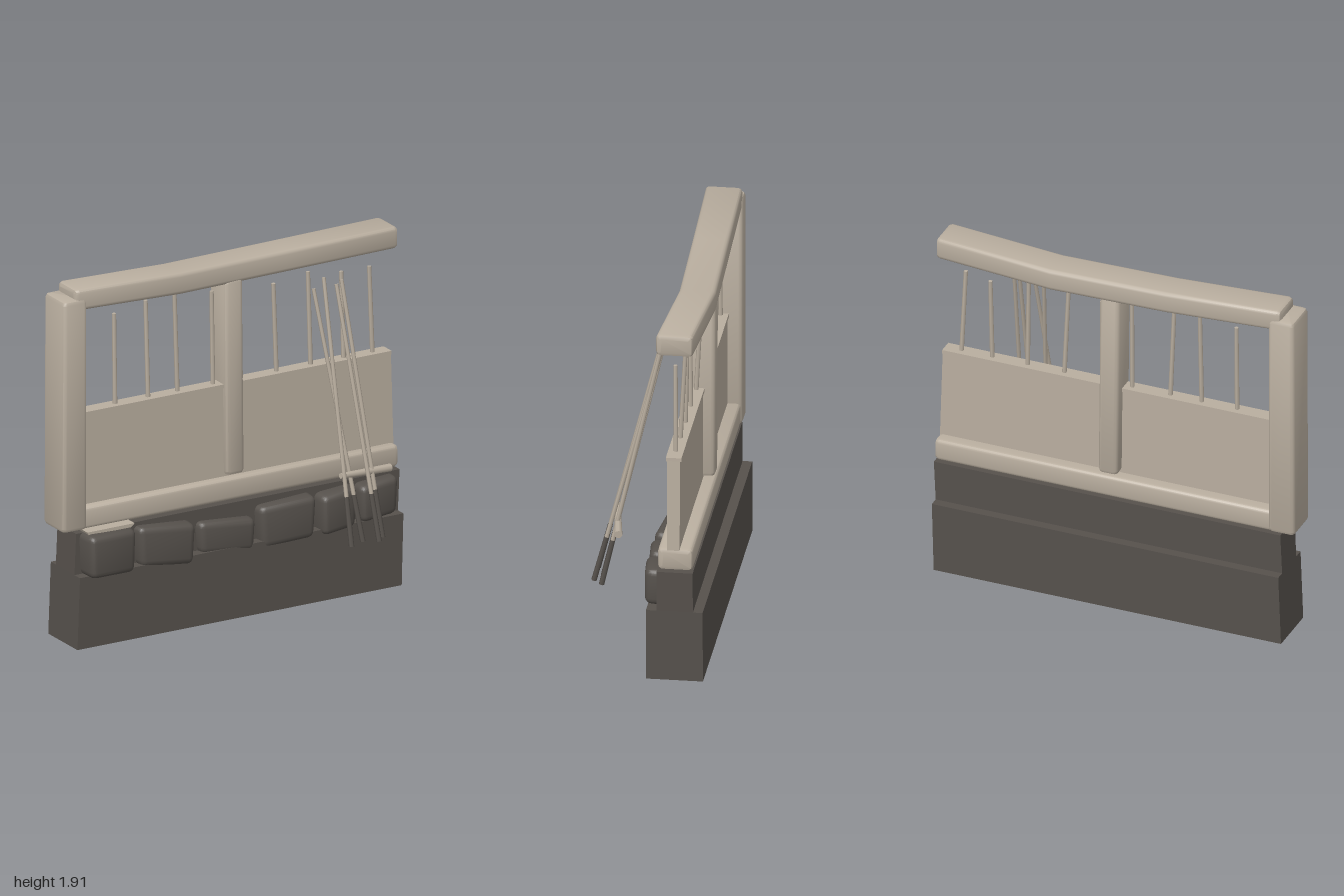
import * as THREE from 'three';
import { toCreasedNormals } from 'three/addons/utils/BufferGeometryUtils.js';
import { RoundedBoxGeometry } from 'three/addons/geometries/RoundedBoxGeometry.js';

const paleWood = new THREE.MeshStandardMaterial({ color: 0xb9ae9f });
paleWood.name = 'pale wood';
const darkStone = new THREE.MeshStandardMaterial({ color: 0x56514c });
darkStone.name = 'dark stone';

// Rounded rectangle ring in the (u, v) plane, counter-clockwise
function ring(a, u0, u1, v0, v1, r) {
  const pts = [];
  const corners = [[u1 - r, v1 - r], [u0 + r, v1 - r], [u0 + r, v0 + r], [u1 - r, v0 + r]];
  corners.forEach(([u, v], c) => {
    for (let i = 0; i < 4; i++) {
      const t = (c + i / 3) * Math.PI / 2;
      pts.push([a, u + r * Math.cos(t), v + r * Math.sin(t)]);
    }
  });
  return pts;
}

// Beam with softened edges through sections [a, u0, u1, v0, v1];
// along x: u = y, v = z; along y: u = z, v = x
function beamGeometry(axis, sections, r = 0.022) {
  const first = sections[0], last = sections[sections.length - 1];
  const inset = (s, da, d) => ring(s[0] + da, s[1] + d, s[2] - d, s[3] + d, s[4] - d, r - d * 0.6);
  const rings = [
    inset(first, 0, r), inset(first, r * 0.3, r * 0.3), inset(first, r, 0),
    ...sections.slice(1, -1).map(s => inset(s, 0, 0)),
    inset(last, -r, 0), inset(last, -r * 0.3, r * 0.3), inset(last, 0, r),
  ];
  const pos = [], idx = [], n = 16;
  for (const [a, u, v] of rings.flat()) pos.push(...(axis === 'x' ? [a, u, v] : [v, a, u]));
  for (let k = 0; k < rings.length - 1; k++) {
    for (let i = 0; i < n; i++) {
      const p = k * n + i, q = k * n + (i + 1) % n;
      idx.push(p, q, q + n, p, q + n, p + n);
    }
  }
  const end = (rings.length - 1) * n;
  for (let i = 1; i < n - 1; i++) idx.push(0, i + 1, i, end, end + i, end + i + 1);
  const g = new THREE.BufferGeometry();
  g.setAttribute('position', new THREE.Float32BufferAttribute(pos, 3));
  g.setIndex(idx);
  return toCreasedNormals(g, 0.65);
}

// Box whose left and right ends slope between bottom and top
function slantedBox([b0, b1], [t0, t1], [y0, y1], [z0, z1]) {
  const g = new THREE.BoxGeometry(1, 1, 1).toNonIndexed();
  const p = g.attributes.position;
  for (let i = 0; i < p.count; i++) {
    const right = p.getX(i) > 0, top = p.getY(i) > 0;
    p.setXYZ(i, top ? (right ? t1 : t0) : (right ? b1 : b0), top ? y1 : y0, p.getZ(i) > 0 ? z1 : z0);
  }
  g.computeVertexNormals();
  return g;
}

// Rounded block, skewed so each stone differs
function stoneGeometry([x0, x1, y0, y1, front, drop, turn, flare]) {
  const w = x1 - x0, h = y1 - y0, back = -0.11, d = front - back;
  const g = new RoundedBoxGeometry(w, h - Math.abs(drop) * 2, d, 2, 0.035);
  const p = g.attributes.position;
  for (let i = 0; i < p.count; i++) {
    const nx = p.getX(i) / w * 2, ny = p.getY(i) / h * 2, nz = p.getZ(i) / d + 0.5;
    p.setXYZ(i,
      (x0 + x1) / 2 + p.getX(i) * (1 + flare * (ny - 1)) * (1 - 0.08 * nz),
      (y0 + y1) / 2 + p.getY(i) + drop * nx,
      (front + back) / 2 + p.getZ(i) + turn * (nx - 1) * nz);
  }
  return toCreasedNormals(g, 0.45);
}

export function createModel() {
  const model = new THREE.Group();
  model.name = 'wallSection';
  const add = (name, geometry, material, parent = model) => {
    const m = new THREE.Mesh(geometry, material);
    m.name = name;
    parent.add(m);
    return m;
  };
  const group = name => {
    const g = new THREE.Group();
    g.name = name;
    model.add(g);
    return g;
  };
  const up = new THREE.Vector3(0, 1, 0);
  const rod = (name, from, to, r0, r1, sides, material, parent) => {
    const a = new THREE.Vector3(...from), b = new THREE.Vector3(...to);
    const dir = b.clone().sub(a);
    const m = add(name, new THREE.CylinderGeometry(r1, r0, dir.length(), sides), material, parent);
    m.position.copy(a).add(b).multiplyScalar(0.5);
    m.quaternion.setFromUnitVectors(up, dir.normalize());
  };

  // Stepped footing
  add('lowerFooting', slantedBox([-0.94, 0.975], [-0.925, 0.985], [0, 0.385], [-0.305, -0.015]), darkStone);
  add('upperFooting', slantedBox([-0.925, 0.985], [-0.915, 0.995], [0.385, 0.605], [-0.255, -0.07]), darkStone);

  // Facing stones: x0, x1, y0, y1, front z, drop, turn, flare
  const stones = group('facingStones');
  [
    [-0.90, -0.595, 0.37, 0.61, 0.022, -0.005, -0.012, 0.03],
    [-0.585, -0.235, 0.345, 0.588, 0.012, -0.014, 0.012, 0.05],
    [-0.22, 0.13, 0.345, 0.545, -0.008, -0.014, 0.008, 0.04],
    [0.13, 0.475, 0.345, 0.582, 0.015, 0.008, 0.012, 0.05],
    [0.485, 0.715, 0.355, 0.585, 0.005, 0.008, -0.01, 0.04],
    [0.715, 0.965, 0.38, 0.595, -0.003, 0.008, -0.01, 0.05],
  ].forEach(s => add('facingStone', stoneGeometry(s), darkStone, stones));
  add('shimSlab', slantedBox([-0.87, -0.62], [-0.88, -0.6], [0.604, 0.622], [-0.1, -0.018]), paleWood);

  // Timber frame
  add('sillBeam', beamGeometry('x', [[-0.985, 0.615, 0.735, -0.255, -0.075], [0.995, 0.615, 0.735, -0.255, -0.075]]), paleWood);
  add('leftPost', beamGeometry('y', [[0.617, -0.265, -0.063, -0.995, -0.85], [1.865, -0.265, -0.063, -0.99, -0.85]]), paleWood);
  add('centrePost', beamGeometry('y', [[0.742, -0.25, -0.09, -0.012, 0.095], [1.8, -0.25, -0.09, -0.022, 0.085]]), paleWood);
  add('topBeam', beamGeometry('x', [
    [-0.915, 1.802, 1.915, -0.258, -0.07],
    [-0.285, 1.775, 1.892, -0.27, -0.083],
    [0.345, 1.775, 1.892, -0.288, -0.1],
    [0.988, 1.798, 1.915, -0.255, -0.065],
  ]), paleWood);

  // Infill panel with a capping strip
  add('panel', slantedBox([-0.87, 0.99], [-0.87, 0.975], [0.72, 1.215], [-0.188, -0.122]), paleWood);
  add('panelCap', slantedBox([-0.87, 0.975], [-0.87, 0.975], [1.213, 1.233], [-0.195, -0.115]), paleWood);

  // Window bars: bottom x, top x, top y
  const bars = group('windowBars');
  [
    [-0.83, -0.833, 1.71], [-0.635, -0.635, 1.715], [-0.44, -0.44, 1.745], [-0.267, -0.287, 1.76],
    [-0.057, -0.059, 1.73], [0.108, 0.1, 1.71], [0.318, 0.297, 1.71], [0.52, 0.51, 1.73],
    [0.715, 0.715, 1.69], [0.885, 0.863, 1.7],
  ].forEach(([b, t, y], i) =>
    rod('windowBar', [b, 1.22, -0.155], [t, y, -0.15 - 0.015 * (i % 3)], 0.012, 0.011, 6, paleWood, bars));

  // Leaning poles with dark lower ends: top x, top y, bottom x, bottom z
  const poles = group('leaningPoles');
  [
    [0.475, 1.68, 0.585, 0.255], [0.535, 1.73, 0.495, 0.295],
    [0.61, 1.68, 0.658, 0.295], [0.64, 1.7, 0.705, 0.25],
  ].forEach(([tx, ty, bx, bz]) => {
    const top = new THREE.Vector3(tx, ty, -0.05), bottom = new THREE.Vector3(bx, 0.39, bz);
    const joint = bottom.clone().lerp(top, 0.185);
    rod('poleShaft', joint.toArray(), top.toArray(), 0.011, 0.01, 6, paleWood, poles);
    rod('poleTip', bottom.toArray(), joint.toArray(), 0.014, 0.013, 6, darkStone, poles);
  });
  rod('crossStick', [0.49, 0.742, 0.195], [0.808, 0.716, 0.15], 0.015, 0.021, 8, paleWood, poles);

  return model;
}
